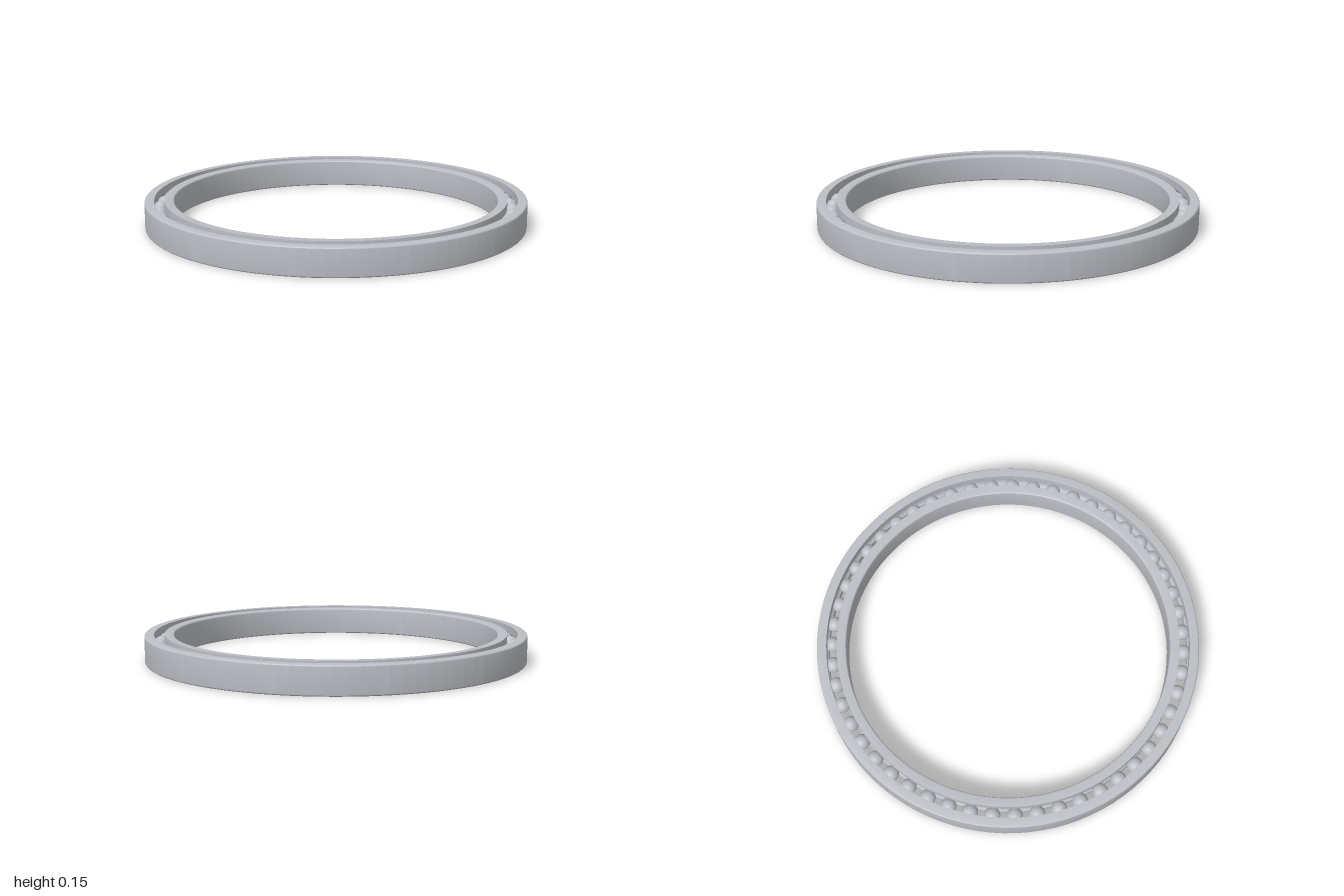
import * as THREE from 'three';
import { toCreasedNormals } from 'three/addons/utils/BufferGeometryUtils.js';

const HEIGHT = 0.147;
const PITCH = 0.923;   // radius of the circle of balls
const LAND = 0.95;     // inner face of the outer ring
const GROOVE = 0.042;  // groove radius
const BALL = 0.041;
const BALLS = 51;
const FILLET = 0.01;

// Points of an arc in the (radius, height) plane
function arc(cx, cy, r, from, to, steps) {
  return Array.from({ length: steps + 1 }, (_, i) => {
    const t = from + (to - from) * i / steps;
    return new THREE.Vector2(cx + r * Math.cos(t), cy + r * Math.sin(t));
  });
}

// Closed cross-section of the outer ring: rounded outside, ball groove inside
function outerProfile() {
  const a = Math.acos((LAND - PITCH) / GROOVE);
  const points = [
    ...arc(1 - FILLET, FILLET, FILLET, -Math.PI / 2, 0, 4),
    ...arc(1 - FILLET, HEIGHT - FILLET, FILLET, 0, Math.PI / 2, 4),
    new THREE.Vector2(LAND, HEIGHT),
    ...arc(PITCH, HEIGHT / 2, GROOVE, a, -a, 12),
    new THREE.Vector2(LAND, 0),
  ];
  return [...points, points[0].clone()];
}

export function createModel() {
  const model = new THREE.Group();
  model.name = 'ballBearing';
  const steel = new THREE.MeshStandardMaterial({ color: 0xbcbfc5 });
  steel.name = 'steel';

  function addRing(name, profile) {
    const geometry = toCreasedNormals(new THREE.LatheGeometry(profile, 96), 0.2);
    const ring = new THREE.Mesh(geometry, steel);
    ring.name = name;
    model.add(ring);
  }

  // The inner ring is the outer section mirrored across the ball circle
  const outer = outerProfile();
  const inner = outer.map(p => new THREE.Vector2(2 * PITCH - p.x, p.y)).reverse();
  addRing('outerRing', outer);
  addRing('innerRing', inner);

  // Balls evenly spaced between the rings
  const balls = new THREE.Group();
  balls.name = 'balls';
  const ballGeometry = new THREE.SphereGeometry(BALL, 24, 16);
  for (let i = 0; i < BALLS; i++) {
    const t = i / BALLS * Math.PI * 2;
    const ball = new THREE.Mesh(ballGeometry, steel);
    ball.name = 'ball';
    ball.position.set(PITCH * Math.cos(t), HEIGHT / 2, PITCH * Math.sin(t));
    balls.add(ball);
  }
  model.add(balls);
  return model;
}
